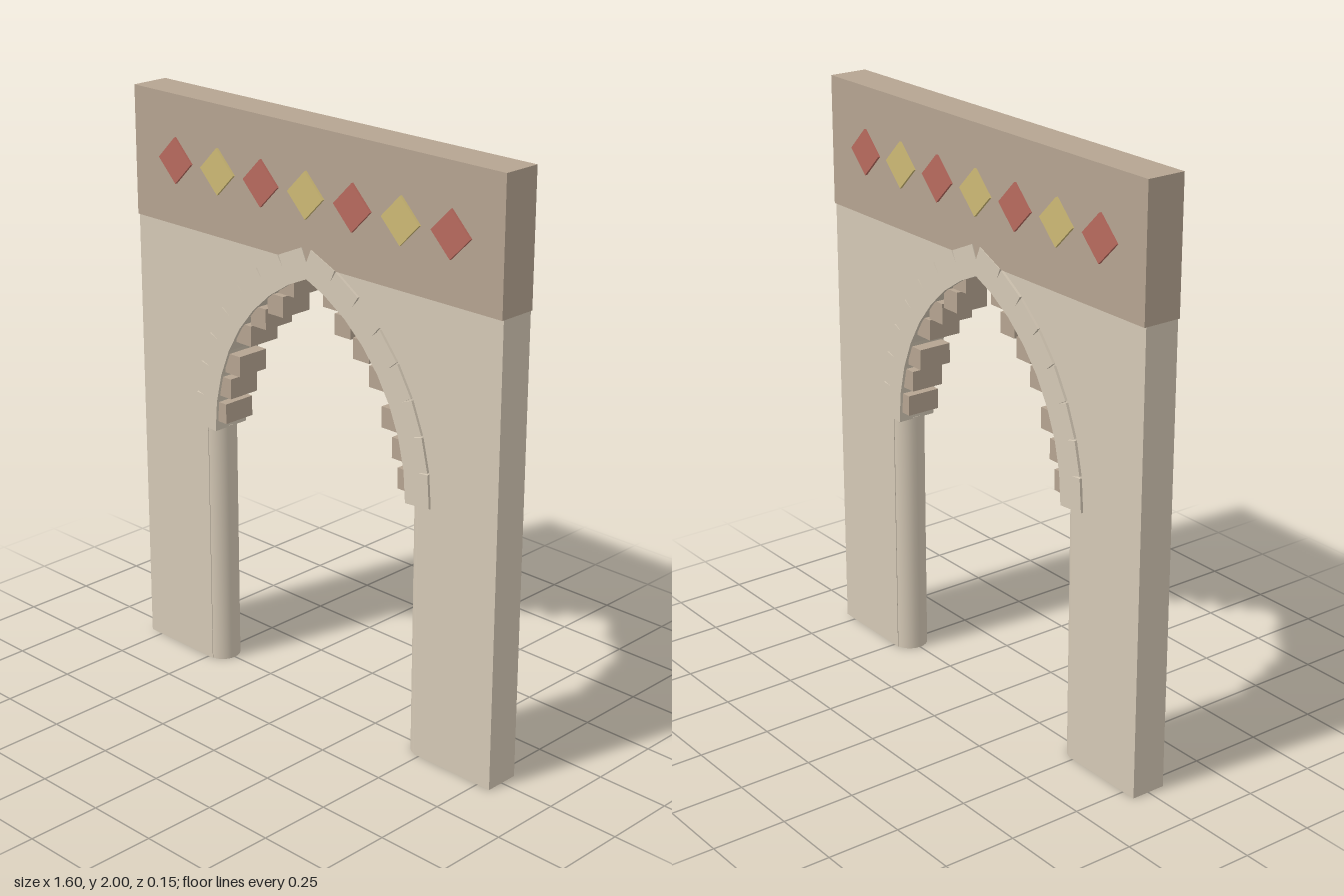
import * as THREE from 'three';

const SPRING = 0.88;   // height where the arch starts
const APEX = 1.56;     // top of the opening
const HALF = 0.48;     // half width of the opening
const RISE = APEX - SPRING;
// each side of the pointed arch is an arc centred beyond the middle
const OFF = (RISE * RISE - HALF * HALF) / (2 * HALF);
const R = HALF + OFF;
const SWEEP = Math.atan2(RISE, OFF);

const material = (color) => new THREE.MeshStandardMaterial({ color });

export function createModel() {
  const group = new THREE.Group();
  const stone = material(0xd4c8b5);
  const darkStone = material(0xb5a491);
  const red = material(0xb86a5e);
  const yellow = material(0xcdb975);

  const add = (name, geometry, mat, x, y, z = 0, turn = 0) => {
    const mesh = new THREE.Mesh(geometry, mat);
    mesh.name = name;
    mesh.position.set(x, y, z);
    mesh.rotation.z = turn;
    group.add(mesh);
    return mesh;
  };

  // wall with a pointed opening
  const outline = new THREE.Shape();
  outline.moveTo(-0.8, 0);
  outline.lineTo(-HALF, 0);
  outline.lineTo(-HALF, SPRING);
  outline.absarc(OFF, SPRING, R, Math.PI, Math.PI - SWEEP, true);
  outline.absarc(-OFF, SPRING, R, SWEEP, 0, true);
  outline.lineTo(HALF, 0);
  outline.lineTo(0.8, 0);
  outline.lineTo(0.8, APEX);
  outline.lineTo(-0.8, APEX);
  outline.closePath();
  const wall = new THREE.ExtrudeGeometry(outline, { depth: 0.122, bevelEnabled: false, curveSegments: 24 });
  add('wall', wall, stone, 0, 0, -0.061);

  // band across the top
  add('topBand', new THREE.BoxGeometry(1.6, 2 - APEX, 0.135), darkStone, 0, (2 + APEX) / 2);

  // diamond tiles, showing on both faces
  const tile = new THREE.BoxGeometry(0.11, 0.11, 0.152);
  for (let i = 0; i < 7; i++) {
    add('diamondTile', tile, i % 2 ? yellow : red, (i - 3) * 0.2, 1.78, 0, Math.PI / 4);
  }

  const column = new THREE.CylinderGeometry(0.06, 0.06, SPRING, 24);
  const count = 8;
  const archBlock = new THREE.BoxGeometry(0.1, 0.1126, 0.14);
  const step = new THREE.BoxGeometry(0.07, 0.07, 0.12);
  const stepCentres = [
    [0.425, 0.945], [0.4, 1.04], [0.355, 1.13], [0.3, 1.25],
    [0.23, 1.325], [0.15, 1.385], [0.1, 1.465],
  ];

  for (const side of [1, -1]) {
    // rounded jamb
    add('jambColumn', column, stone, side * 0.49, SPRING / 2);
    // ring of arch stones
    for (let i = 0; i < count; i++) {
      const a = ((i + 0.5) / count) * SWEEP;
      add('archStone', archBlock, stone,
        side * (R * Math.cos(a) - OFF), SPRING + R * Math.sin(a), 0, side * a);
    }
    // stepped blocks under the arch
    for (const [x, y] of stepCentres) add('stepBlock', step, darkStone, side * x, y);
  }
  return group;
}
